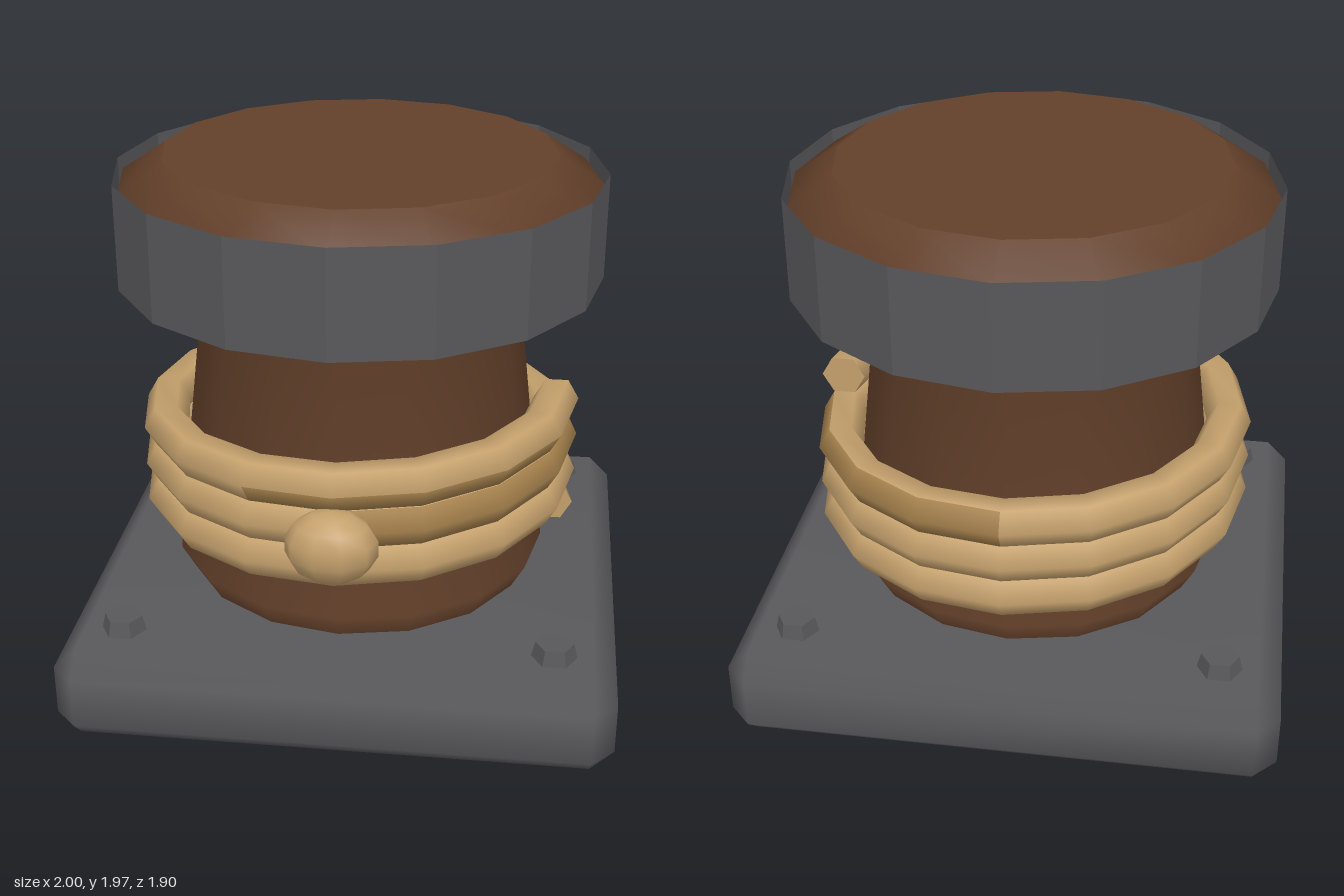
import * as THREE from 'three';
import { mergeVertices } from 'three/addons/utils/BufferGeometryUtils.js';
import { ConvexGeometry } from 'three/addons/geometries/ConvexGeometry.js';

const SIDES = 16;

function flat(geometry) {
  const g = geometry.toNonIndexed();
  g.computeVertexNormals();
  return g;
}

// Box with one chamfer on every edge and softened normals
function chamferedBox(w, h, d, c) {
  const points = [];
  for (const x of [-1, 1]) for (const y of [-1, 1]) for (const z of [-1, 1]) {
    for (let axis = 0; axis < 3; axis++) {
      const half = [w / 2, h / 2, d / 2].map((s, i) => (i === axis ? s : s - c));
      points.push(new THREE.Vector3(x * half[0], y * half[1], z * half[2]));
    }
  }
  const g = new ConvexGeometry(points);
  g.deleteAttribute('normal');
  const merged = mergeVertices(g);
  merged.computeVertexNormals();
  return merged;
}

function lathe(profile) {
  return new THREE.LatheGeometry(profile.map(([r, y]) => new THREE.Vector2(r, y)), SIDES);
}

export function createModel() {
  const model = new THREE.Group();
  model.name = 'mooringBollard';

  const material = (name, color) => {
    const m = new THREE.MeshStandardMaterial({ color });
    m.name = name;
    return m;
  };
  const iron = material('iron', 0x58585b);
  const band = material('ironBand', 0x58585b);
  band.side = THREE.DoubleSide;
  const wood = material('wood', 0x63402a);
  const rope = material('rope', 0xc4a06c);
  const ropeDark = material('ropeDark', 0xa37f4b);

  const add = (name, geometry, mat, x = 0, y = 0, z = 0, parent = model) => {
    const mesh = new THREE.Mesh(geometry, mat);
    mesh.name = name;
    mesh.position.set(x, y, z);
    parent.add(mesh);
    return mesh;
  };

  // Base plate with four hex bolts
  add('basePlate', chamferedBox(2, 0.355, 1.9, 0.083), iron, 0, 0.1775, 0);
  const boltShape = flat(new THREE.CylinderGeometry(0.068, 0.083, 0.065, 6).rotateY(Math.PI / 2));
  const bolts = new THREE.Group();
  bolts.name = 'bolts';
  model.add(bolts);
  for (const x of [-0.775, 0.775]) for (const z of [-0.71, 0.71]) {
    add('bolt', boltShape, iron, x, 0.38, z, bolts);
  }

  // Tapered post and its flared head
  add('post', lathe([[0.65, 0.34], [0.71, 0.45], [0.583, 1.52], [0.87, 1.63]]), wood);
  add('head', lathe([[0.87, 1.63], [0.87, 1.866], [0.71, 1.97]]), wood);
  add('headTop', new THREE.CircleGeometry(0.71, SIDES).rotateX(-Math.PI / 2), wood, 0, 1.97, 0);

  // Thin iron band around the head
  add('headBand', flat(new THREE.CylinderGeometry(0.887, 0.887, 0.385, SIDES, 1, true)), band, 0, 1.7125, 0);

  // Rope: a three-turn ring lifted steadily into a helix
  const turns = 3, steps = turns * SIDES, R = 0.742, r = 0.083, y0 = 0.595, rise = 0.147;
  const coil = new THREE.TorusGeometry(R, r, 6, steps, turns * Math.PI * 2).rotateX(-Math.PI / 2);
  const pos = coil.attributes.position;
  for (let i = 0; i < pos.count; i++) {
    const t = (i % (steps + 1)) / steps;
    pos.setY(i, pos.getY(i) + y0 + t * turns * rise);
  }
  // Darker worn stretches on the outer strips
  const worn = { 0: [28, 36], 5: [28, 36, 43, 48] };
  for (let strip = 0; strip < 6; strip++) {
    const cuts = [0, ...(worn[strip] || []), steps];
    for (let k = 0; k + 1 < cuts.length; k++) {
      const count = cuts[k + 1] - cuts[k];
      if (count > 0) coil.addGroup((strip * steps + cuts[k]) * 6, count * 6, k % 2);
    }
  }
  add('ropeCoil', coil, [rope, ropeDark]);

  // Rope ends
  const end = new THREE.CircleGeometry(r, 6);
  add('ropeEndLower', end, rope, R, y0, 0);
  add('ropeEndUpper', end, rope, R, y0 + turns * rise, 0).rotation.y = Math.PI;

  // Knot on the front
  add('knot', new THREE.SphereGeometry(1, 10, 7).scale(0.165, 0.135, 0.12), rope, 0, 0.81, 0.815);

  return model;
}
